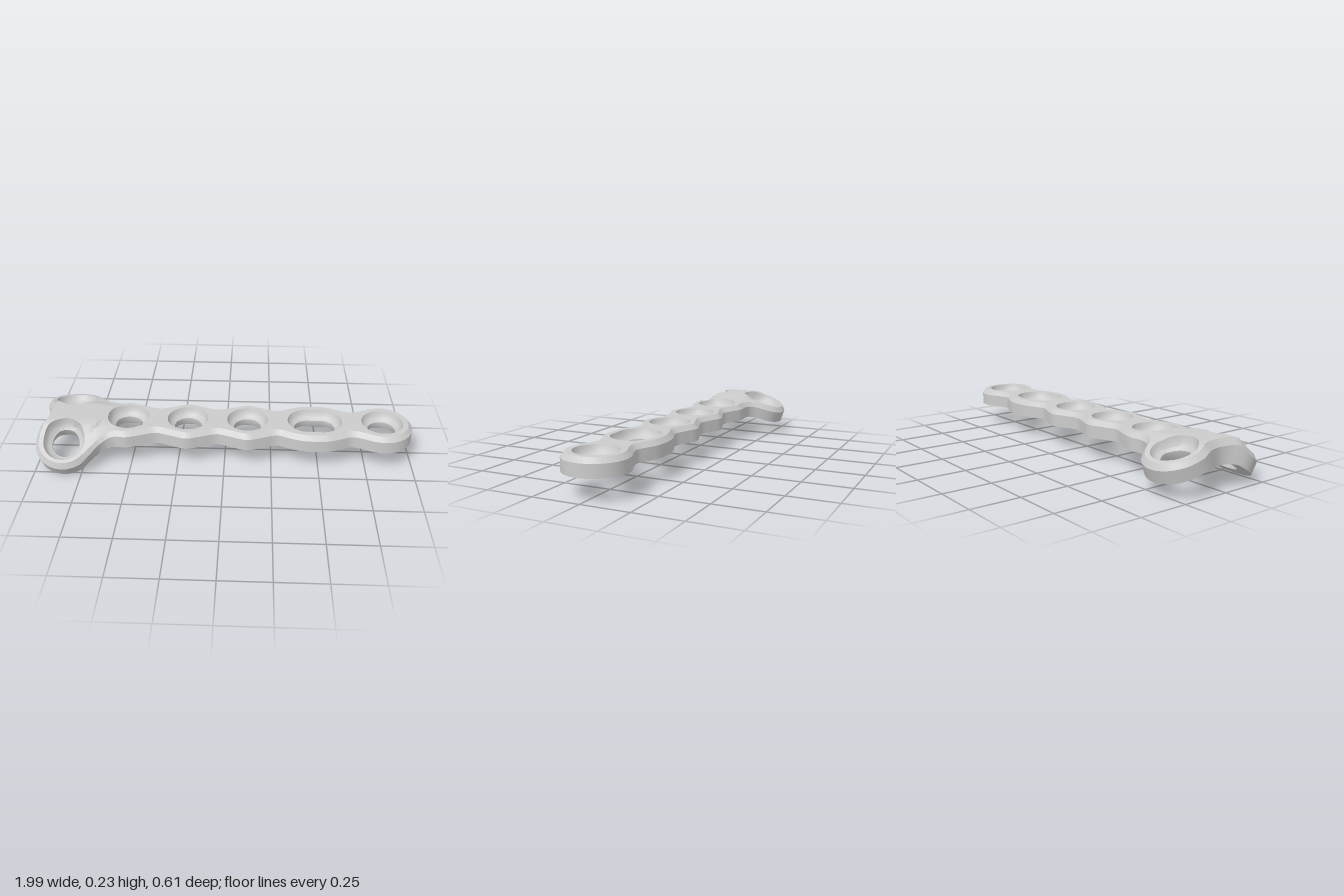
import * as THREE from 'three';
import { toCreasedNormals } from 'three/addons/utils/BufferGeometryUtils.js';

const T = 0.09;        // plate thickness
const MID = 0.012;     // z of the shaft's centre line
const BASE = 0.115;    // underside of the flat shaft
const { smoothstep } = THREE.MathUtils;

// Head lobes: plan ellipses at the underside, each folded down at its own angle
const lobes = [
  { side: 1, z: 0.135, rz: 0.13, fold: 0.08, angle: 0.555 },
  { side: -1, z: -0.138, rz: 0.147, fold: 0.138, angle: 0.33 },
];
const LOBE_X = -0.84, LOBE_R = 0.155;

// Outline of one long side, from the tip to the head's left edge
function sidePoints({ side, z, rz }) {
  const pts = [];
  const shaft = (x, w) => pts.push([x, MID + side * w]);
  for (const a of [22, 44, 66, 88, 110]) {
    const t = a * Math.PI / 180;
    shaft(0.838 + 0.16 * Math.cos(t), 0.16 * Math.sin(t));
  }
  [[0.725, 0.125], [0.67, 0.112], [0.61, 0.135], [0.54, 0.159], [0.42, 0.159], [0.34, 0.135]]
    .forEach(p => shaft(...p));
  for (let k = 10; k >= 0; k--) shaft(-0.52 + 0.08 * k, 0.136 + 0.024 * Math.cos(k * Math.PI / 2));
  shaft(-0.6, 0.152);
  shaft(-0.655, 0.163);
  for (let a = 35; a <= 205; a += 17) {
    const t = a * Math.PI / 180;
    pts.push([LOBE_X + LOBE_R * Math.cos(t), z + side * rz * Math.sin(t)]);
  }
  return pts;
}

function outline() {
  const pts = [[0.998, MID], ...sidePoints(lobes[0]), [-0.955, 0], ...sidePoints(lobes[1]).reverse()];
  const curve = new THREE.CatmullRomCurve3(pts.map(([x, z]) => new THREE.Vector3(x, 0, z)), true, 'centripetal');
  return curve.getSpacedPoints(280).slice(0, -1).map(p => new THREE.Vector2(p.x, p.z));
}

// Move a closed loop inward by d
function inset(loop, d) {
  const n = loop.length;
  return loop.map((p, i) => {
    const t = loop[(i + 1) % n].clone().sub(loop[(i + n - 1) % n]).normalize();
    return new THREE.Vector2(p.x - t.y * d, p.y + t.x * d);
  });
}

// Round, squashed or slotted hole loop
function holeLoop({ x, z, squash = 1, slot = 0 }, r) {
  return Array.from({ length: 48 }, (_, i) => {
    const t = (i + 0.5) / 48 * Math.PI * 2;
    return new THREE.Vector2(x + r * Math.cos(t) + slot * Math.sign(Math.cos(t)), z + squash * r * Math.sin(t));
  });
}

// Fold the head lobes down and thicken the ridge between them
function bend(v) {
  const { x, y: h, z } = v;
  const { side, fold, angle } = z >= 0 ? lobes[0] : lobes[1];
  const d = Math.abs(z);
  const w = 1 - smoothstep(x, -0.74, -0.56);
  const tilt = w * smoothstep(d, 0, 0.06);
  const lean = w * smoothstep(d, 0.04, 0.14);
  const ridge = 0.3 * (1 - smoothstep(x, -0.85, -0.42)) * (1 - smoothstep(d, 0.05, 0.14));
  const drop = w * Math.max(0, d - fold) * Math.tan(angle);
  const rise = h * (1 + ridge) * (1 - lean * (1 - Math.cos(angle)));
  return v.set(x, BASE - drop + rise, z + side * tilt * h * Math.sin(angle));
}

function plateGeometry() {
  const tris = [];
  const at = (p, h) => new THREE.Vector3(p.x, h, p.y);

  // Wall between stacked loops, listed from bottom to top
  const wall = (rows, inward) => {
    for (let r = 0; r + 1 < rows.length; r++) {
      const [lo, hi] = [rows[r], rows[r + 1]], n = lo.loop.length;
      for (let i = 0; i < n; i++) {
        const j = (i + 1) % n;
        const a = at(lo.loop[i], lo.h), b = at(lo.loop[j], lo.h);
        const c = at(hi.loop[j], hi.h), e = at(hi.loop[i], hi.h);
        if (inward) tris.push([a, c, e], [a, b, c]);
        else tris.push([a, e, c], [a, c, b]);
      }
    }
  };

  // Split long edges so that the flat faces can follow the bend
  const split = (a, b, c) => {
    const l = [a.distanceTo(b), b.distanceTo(c), c.distanceTo(a)];
    const m = Math.max(...l);
    if (m < 0.04) return tris.push([a, b, c]);
    if (m === l[1]) [a, b, c] = [b, c, a];
    else if (m === l[2]) [a, b, c] = [c, a, b];
    const mid = a.clone().add(b).multiplyScalar(0.5);
    split(a, mid, c);
    split(mid, b, c);
  };

  const cap = (loop, holes, h, up) => {
    const pts = [loop, ...holes].flat();
    for (const f of THREE.ShapeUtils.triangulateShape(loop, holes)) {
      let [a, b, c] = f.map(i => at(pts[i], h));
      const ny = (b.z - a.z) * (c.x - a.x) - (b.x - a.x) * (c.z - a.z);
      if ((ny > 0) !== up) [b, c] = [c, b];
      split(a, b, c);
    }
  };

  // Side wall with a chamfered upper edge
  const edge = outline(), top = inset(edge, 0.022);
  wall([{ loop: edge, h: 0 }, { loop: edge, h: 0.065 }, { loop: top, h: T }], false);

  // Countersunk screw holes: radius and height from bottom to top
  const profile = [[0.084, 0], [0.073, 0.028], [0.073, 0.042], [0.092, 0.052], [0.103, 0.068], [0.109, T]];
  const holes = [
    ...[-0.52, -0.2, 0.12, 0.838].map(x => ({ x, z: MID })),
    { x: 0.48, z: MID, slot: 0.036 },
    ...lobes.map(l => ({ x: LOBE_X, z: l.z, squash: Math.cos(l.angle) })),
  ].map(o => profile.map(([r, h]) => ({ loop: holeLoop(o, r), h })));
  holes.forEach(rows => wall(rows, true));

  // Upper and lower faces
  cap(top, holes.map(rows => rows[rows.length - 1].loop), T, true);
  cap(edge, holes.map(rows => rows[0].loop), 0, false);

  const pos = tris.flat().flatMap(v => bend(v.clone()).toArray());
  const geo = new THREE.BufferGeometry();
  geo.setAttribute('position', new THREE.Float32BufferAttribute(pos, 3));
  return toCreasedNormals(geo, 0.5);
}

export function createModel() {
  const group = new THREE.Group();
  group.name = 'bonePlate';
  const plate = new THREE.Mesh(plateGeometry(), new THREE.MeshStandardMaterial({ color: 0xcccccc }));
  plate.name = 'perforatedPlate';
  group.add(plate);
  return group;
}
